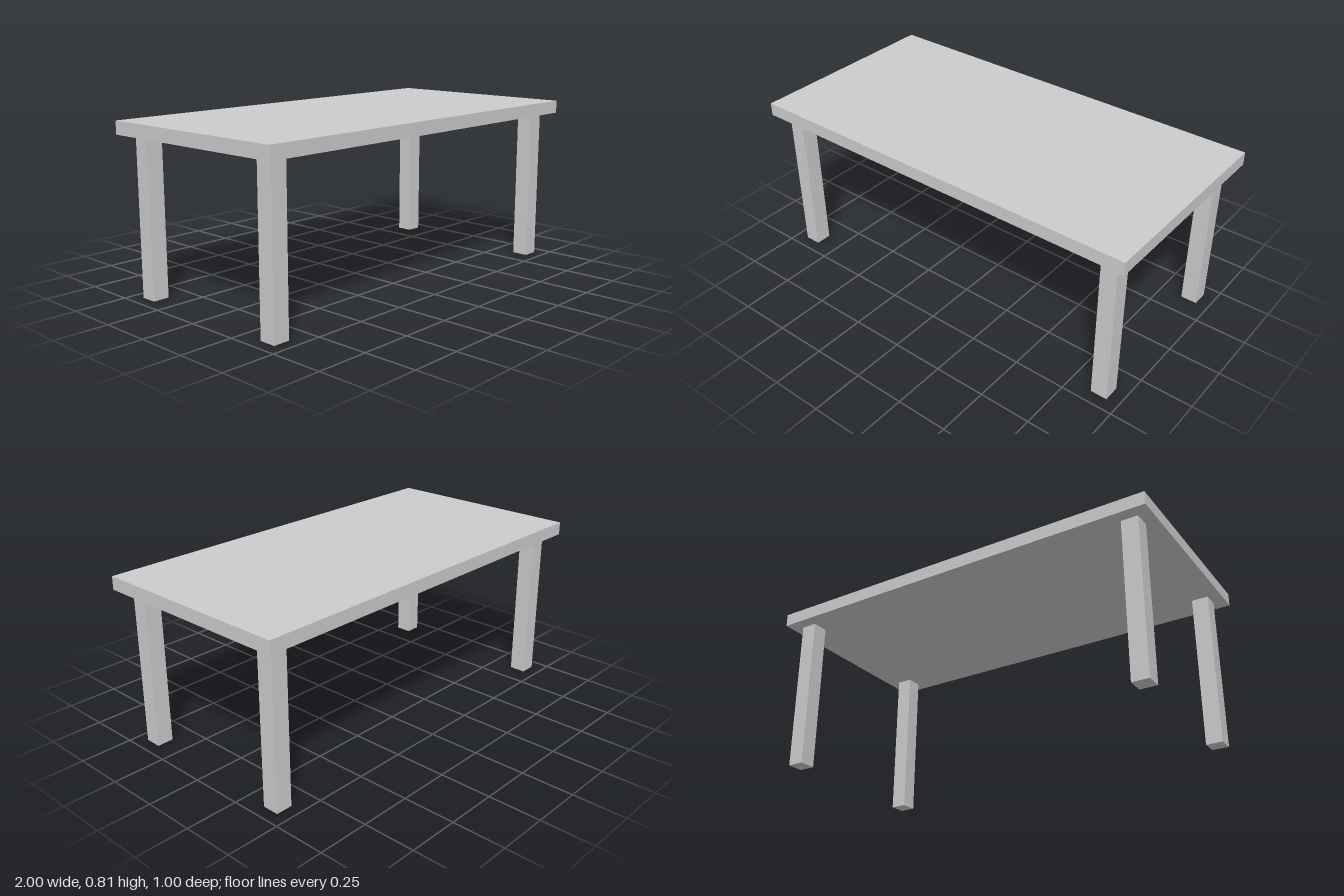
import * as THREE from 'three';

const LEG_HEIGHT = 0.75;
const LEG_WIDTH = 0.08;
const TOP_THICKNESS = 0.0625;

export function createModel() {
  const table = new THREE.Group();
  table.name = 'table';
  const material = new THREE.MeshStandardMaterial({ color: 0xcccccc, flatShading: true });

  const addBox = (name, [w, h, d], [x, y, z]) => {
    const mesh = new THREE.Mesh(new THREE.BoxGeometry(w, h, d), material);
    mesh.name = name;
    mesh.position.set(x, y, z);
    table.add(mesh);
  };

  // Flat slab resting on the legs
  addBox('tabletop', [2, TOP_THICKNESS, 1], [0, LEG_HEIGHT + TOP_THICKNESS / 2, 0]);

  // Four square legs, set in from the corners
  for (const [side, x] of [['Left', 0.9], ['Right', -0.9]]) {
    for (const [end, z] of [['front', 0.4], ['back', -0.4]]) {
      addBox(`${end}${side}Leg`, [LEG_WIDTH, LEG_HEIGHT, LEG_WIDTH], [x, LEG_HEIGHT / 2, z]);
    }
  }

  return table;
}
